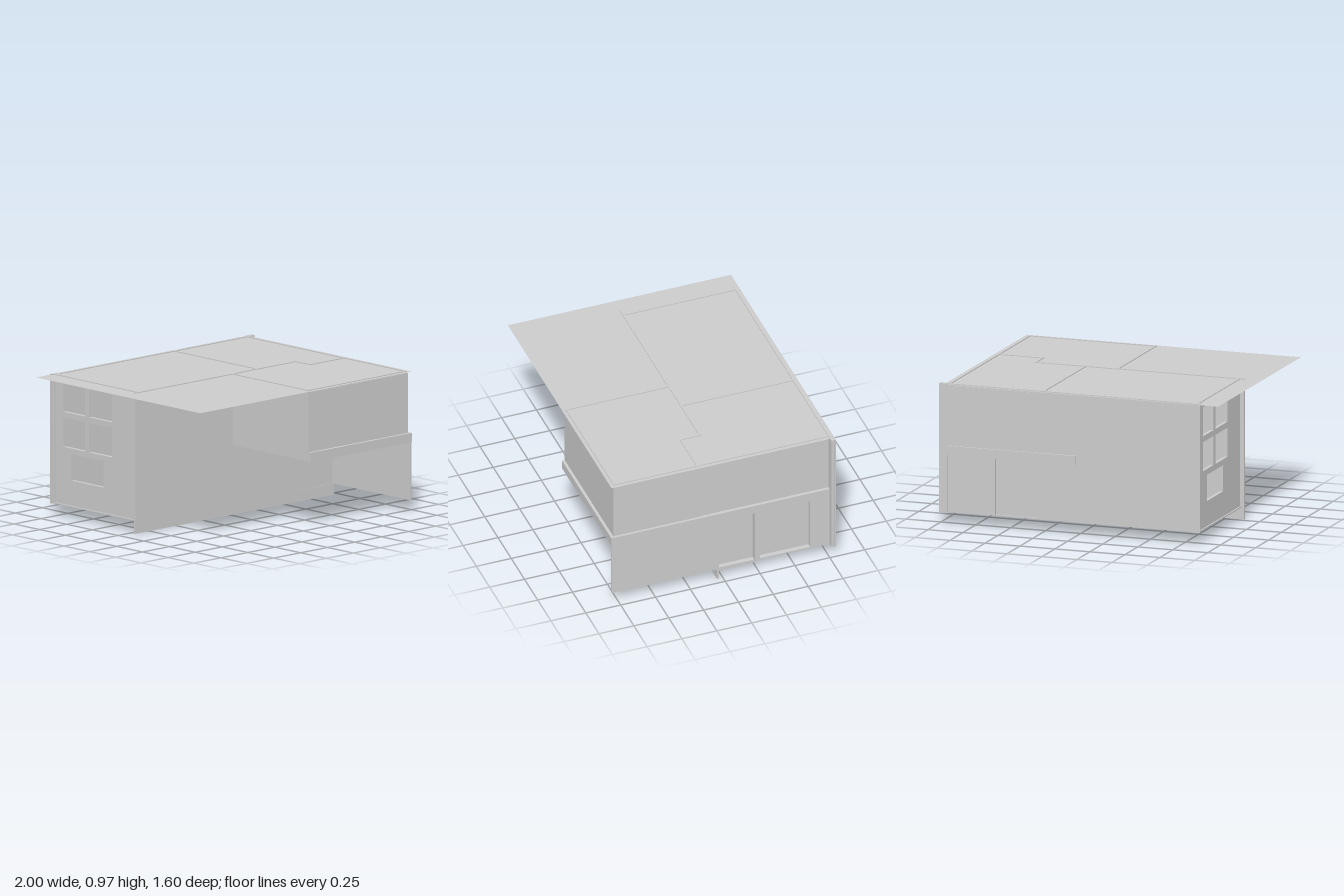
import * as THREE from 'three';

const ROOF = 0.96;   // roof plane
const TOP = 0.966;   // wall heads show slightly above the roof
const FLOOR = 0.08;

export function createModel() {
  const house = new THREE.Group();
  house.name = 'house';
  const mat = new THREE.MeshStandardMaterial({ color: 0xcccccc, side: THREE.DoubleSide, flatShading: true });

  const add = (name, geo) => {
    const mesh = new THREE.Mesh(geo, mat);
    mesh.name = name;
    house.add(mesh);
    return mesh;
  };
  // Box given by its limits on each axis
  const box = (name, x0, x1, y0, y1, z0, z1) =>
    add(name, new THREE.BoxGeometry(x1 - x0, y1 - y0, z1 - z0)
      .translate((x0 + x1) / 2, (y0 + y1) / 2, (z0 + z1) / 2));
  const trace = (path, u0, u1, v0, v1) => {
    path.moveTo(u0, v0); path.lineTo(u1, v0); path.lineTo(u1, v1); path.lineTo(u0, v1); path.closePath();
    return path;
  };

  // Flat roof sheet
  add('roof', new THREE.PlaneGeometry(1.96, 1.6).rotateX(-Math.PI / 2).translate(-0.02, ROOF, 0));

  // Ground floor, entry plate, back corner plate and two small drain bars underneath
  box('groundFloor', -0.86, 0.95, FLOOR, FLOOR + 0.008, -0.78, 0.04);
  box('entryPlate', 0.6, 0.95, 0.065, FLOOR, -0.23, 0.045);
  box('cornerPlate', 0.55, 0.94, 0.077, FLOOR, -0.77, -0.63);
  for (const z of [-0.53, -0.69]) box('drainBar', -0.41, -0.33, 0.065, FLOOR, z - 0.006, z + 0.006);

  // Front wall runs down past the floor; full height only left of the upper room
  box('frontWall', -0.88, 0.05, 0, TOP, 0.03, 0.042);
  box('frontWallLower', 0.05, 0.957, 0, 0.48, 0.03, 0.042);

  // Left wall with four upper windows and one lower window
  const wall = trace(new THREE.Shape(), -0.78, 0.03, FLOOR, TOP);
  const windows = [[-0.61, -0.3, 0.26, 0.44]];
  for (const [z0, z1] of [[-0.69, -0.48], [-0.44, -0.215]])
    for (const [y0, y1] of [[0.48, 0.68], [0.72, 0.92]]) windows.push([z0, z1, y0, y1]);
  for (const w of windows) wall.holes.push(trace(new THREE.Path(), ...w));
  add('leftWall', new THREE.ExtrudeGeometry(wall, { depth: 0.025, bevelEnabled: false })
    .rotateY(-Math.PI / 2).translate(-0.825, 0, 0));

  // Back wall with a recessed door, raised upper panel and corner boards
  const zb = -0.785;
  box('backWallLeft', -0.86, 0.3, FLOOR, TOP, zb, -0.765);
  box('backWallRight', 0.6, 0.99, FLOOR, TOP, zb, -0.765);
  box('backWallOverDoor', 0.3, 0.6, 0.48, TOP, zb, -0.765);
  box('backDoor', 0.3, 0.6, FLOOR, 0.48, -0.77, -0.76);
  box('backUpperPanel', 0.25, 0.94, 0.54, 0.95, zb - 0.004, zb);
  box('backCornerBoard', -0.87, -0.81, FLOOR, TOP, -0.797, zb);
  box('backCornerBoard', 0.94, 0.995, FLOOR, TOP, -0.797, zb);

  // Upper floor slab, whose edge reads as a band round front, right and back
  box('upperFloorSlab', 0.02, 0.957, 0.477, 0.54, -0.8, 0.8);

  // Right lower wall: free-standing screen, posts and recessed door panels
  for (const [z0, z1] of [[0.042, 0.798], [-0.265, -0.23], [-0.775, -0.63]])
    box('rightWallLower', 0.943, 0.955, FLOOR, 0.477, z0, z1);
  for (const [z0, z1] of [[-0.23, 0.03], [-0.63, -0.265]]) {
    box('doorPanel', 0.91, 0.918, FLOOR, 0.477, z0, z1);
    for (const z of [z0, z1]) box('doorReveal', 0.91, 0.95, FLOOR, 0.477, z - 0.003, z + 0.003);
  }

  // Upper front room
  box('upperFrontWall', 0.02, 0.94, 0.54, 0.95, 0.765, 0.78);
  box('upperLeftWall', 0.02, 0.035, 0.54, TOP, 0.03, 0.78);
  box('upperRightWall', 0.925, 0.94, 0.54, 0.95, 0.15, 0.78);
  box('upperRightWallBack', 0.92, 0.934, 0.54, ROOF, -0.77, 0.15);
  box('frontParapet', 0.02, 0.935, 0.95, TOP, 0.76, 0.775);
  box('rightParapet', 0.92, 0.935, 0.95, TOP, -0.77, 0.775);

  // Upper partitions
  box('partitionBack', 0.25, 0.265, 0.54, TOP, -0.77, 0.04);
  box('partitionMiddle', 0.035, 0.62, 0.54, TOP, 0.025, 0.04);
  box('partitionStep', 0.605, 0.62, 0.54, TOP, 0.04, 0.18);
  box('partitionFront', 0.605, 0.925, 0.54, TOP, 0.165, 0.18);

  return house;
}
